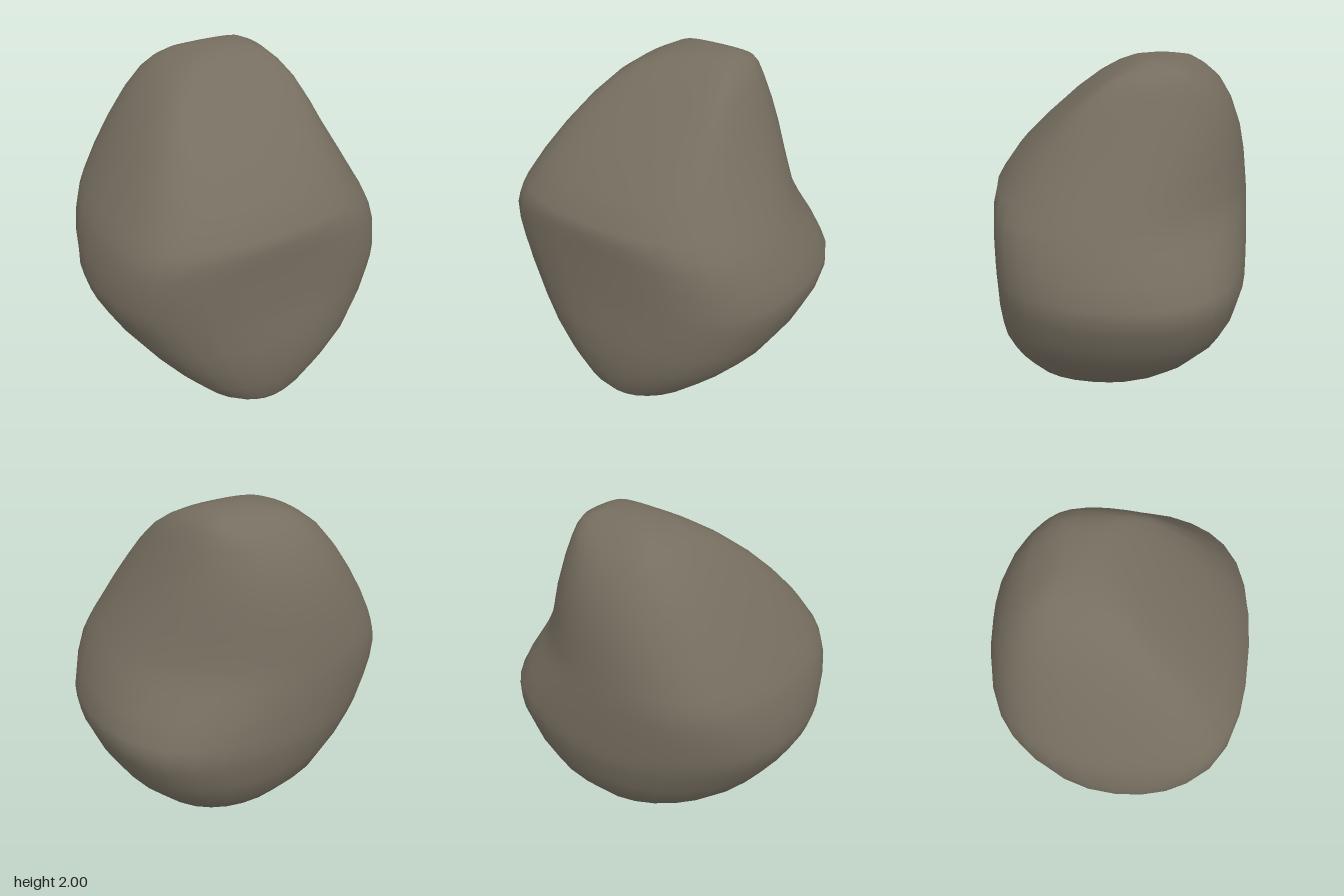
import * as THREE from 'three';

// Each level: height, then how far the boulder reaches in eight compass
// directions, from +x turning towards +z in steps of 45 degrees.
const LEVELS = [
  [0.0, 0.11, 0.32, 0.38, 0.25, 0.02, -0.02, 0.03, 0.05],
  [0.05, 0.3, 0.47, 0.56, 0.45, 0.22, 0.15, 0.16, 0.22],
  [0.15, 0.42, 0.57, 0.65, 0.58, 0.37, 0.29, 0.34, 0.4],
  [0.45, 0.71, 0.77, 0.72, 0.75, 0.65, 0.6, 0.62, 0.71],
  [0.75, 0.86, 0.85, 0.72, 0.85, 0.84, 0.76, 0.715, 0.86],
  [0.9, 0.88, 0.865, 0.72, 0.885, 0.88, 0.81, 0.72, 0.865],
  [1.15, 0.78, 0.83, 0.72, 0.9, 0.84, 0.84, 0.71, 0.72],
  [1.3, 0.7, 0.75, 0.715, 0.845, 0.77, 0.81, 0.695, 0.65],
  [1.6, 0.53, 0.55, 0.46, 0.6, 0.58, 0.685, 0.645, 0.585],
  [1.85, 0.4, 0.345, 0.17, 0.3, 0.375, 0.52, 0.53, 0.5],
  [1.96, 0.31, 0.17, -0.01, 0.06, 0.19, 0.36, 0.38, 0.43],
  [2.0, 0.2, 0.02, -0.13, -0.13, 0.0, 0.15, 0.27, 0.31],
];
const STEPS = 4; // points per octagon corner
const RING = 8 * STEPS;
const ROWS = 2 * (LEVELS.length - 1);

// Rounded outline that touches all eight sides of the octagon given by the reaches
function outline([y, ...reach]) {
  const corners = reach.map((h, i) => {
    const a = (i * Math.PI) / 4;
    const along = (reach[(i + 1) % 8] - h * Math.SQRT1_2) / Math.SQRT1_2;
    return new THREE.Vector3(
      h * Math.cos(a) - along * Math.sin(a),
      y,
      h * Math.sin(a) + along * Math.cos(a));
  });
  return corners.flatMap((c, i) => {
    const start = corners[(i + 7) % 8].clone().lerp(c, 0.5);
    const end = c.clone().lerp(corners[(i + 1) % 8], 0.5);
    return new THREE.QuadraticBezierCurve3(start, c, end).getPoints(STEPS).slice(0, STEPS);
  });
}

// Shallow hollow in the front face
function hollow({ x, y, z }) {
  if (z < 0.3) return 0;
  return 0.015 * Math.exp(-(((x - 0.05) / 0.3) ** 2) - ((y - 0.9) / 0.3) ** 2);
}

function boulderGeometry() {
  const outlines = LEVELS.map(outline);
  const points = [];
  const index = [];

  // Smooth vertical curves through the outlines, sampled row by row
  const columns = outlines[0].map((_, j) =>
    new THREE.CatmullRomCurve3(outlines.map((ring) => ring[j])));
  for (let i = 0; i <= ROWS; i++) {
    for (const column of columns) {
      const p = column.getPoint(i / ROWS);
      p.z -= hollow(p);
      points.push(p);
    }
  }

  // Skin between the rows
  for (let i = 0; i < ROWS; i++) {
    for (let j = 0; j < RING; j++) {
      const a = i * RING + j;
      const b = i * RING + ((j + 1) % RING);
      index.push(a, a + RING, b, b, a + RING, b + RING);
    }
  }

  // Underside and crown, each closed by a fan around its middle
  const top = ROWS * RING;
  const bottomMiddle = points.length;
  const topMiddle = bottomMiddle + 1;
  for (const start of [0, top]) {
    points.push(points[start].clone().lerp(points[start + RING / 2], 0.5));
  }
  for (let j = 0; j < RING; j++) {
    const k = (j + 1) % RING;
    index.push(bottomMiddle, j, k);
    index.push(topMiddle, top + k, top + j);
  }

  const geometry = new THREE.BufferGeometry().setFromPoints(points);
  geometry.setIndex(index);
  geometry.computeVertexNormals();
  return geometry;
}

export function createModel() {
  const stone = new THREE.MeshStandardMaterial({ color: 0x766e60 });
  stone.name = 'stone';

  const boulder = new THREE.Mesh(boulderGeometry(), stone);
  boulder.name = 'boulder';

  const group = new THREE.Group();
  group.name = 'rock';
  group.add(boulder);
  return group;
}
